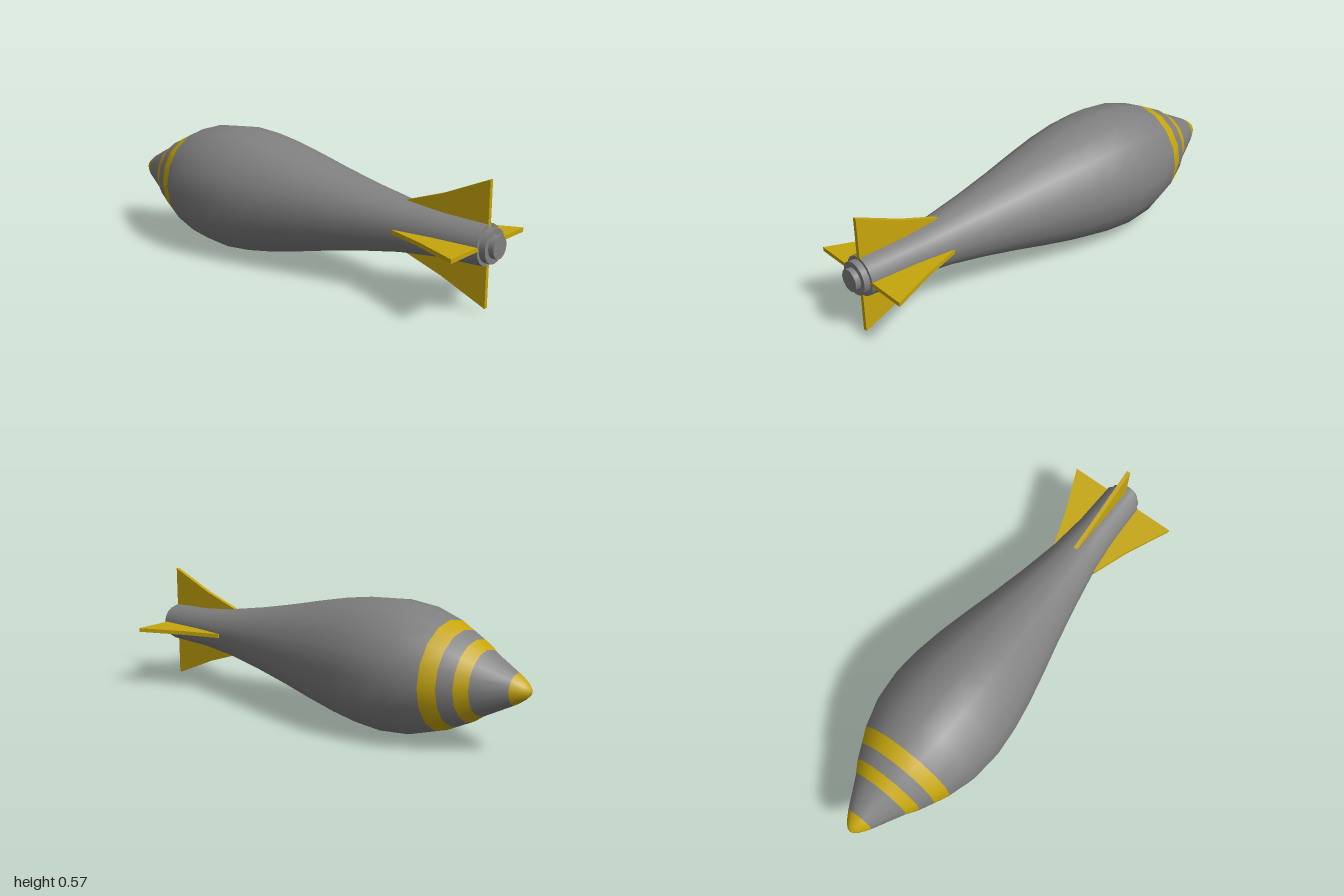
import * as THREE from 'three';

const SIDES = 16;
const AXIS_Y = 0.284;

export function createModel() {
  const grey = new THREE.MeshStandardMaterial({ color: 0x808080 });
  grey.name = 'grey metal';
  const yellow = new THREE.MeshStandardMaterial({ color: 0xc6a60c });
  yellow.name = 'yellow paint';

  const model = new THREE.Group();
  model.name = 'finnedShell';
  const add = (name, geometry, material, parent = model) => {
    const mesh = new THREE.Mesh(geometry, material);
    mesh.name = name;
    parent.add(mesh);
    return mesh;
  };

  // Body profile: [position along the axis, radius], nose to tail
  const profile = [
    [-1, 0], [-0.996, 0.016], [-0.98, 0.033], [-0.96, 0.048], [-0.935, 0.064],
    [-0.8, 0.136], [-0.75, 0.17], [-0.69, 0.2], [-0.625, 0.232],
    [-0.5, 0.271], [-0.36, 0.284], [-0.23, 0.274], [-0.1, 0.253], [0.05, 0.22],
    [0.2, 0.184], [0.38, 0.145], [0.56, 0.112], [0.74, 0.093], [0.95, 0.086],
  ];
  const lathe = new THREE.LatheGeometry(profile.map(([x, r]) => new THREE.Vector2(r, x)), SIDES);
  lathe.rotateZ(-Math.PI / 2);

  // One smooth skin, split into painted sections between profile rows
  const rows = profile.length;
  const section = (from, to) => {
    const index = [];
    for (let s = 0; s < SIDES; s++) {
      const start = (s * (rows - 1) + from) * 6;
      const end = (s * (rows - 1) + to) * 6;
      for (let k = start; k < end; k++) index.push(lathe.index.getX(k));
    }
    const part = lathe.clone();
    part.setIndex(index);
    return part;
  };
  const body = new THREE.Group();
  body.name = 'body';
  model.add(body);
  add('noseTip', section(0, 4), yellow, body);
  add('noseCone', section(4, 5), grey, body);
  add('frontBand', section(5, 6), yellow, body);
  add('bandGap', section(6, 7), grey, body);
  add('rearBand', section(7, 8), yellow, body);
  add('mainBody', section(8, rows - 1), grey, body);

  // Flat end of the tail, with a stepped plug behind it
  const tailEnd = add('tailEnd', new THREE.CircleGeometry(0.086, SIDES), grey);
  tailEnd.rotation.y = Math.PI / 2;
  tailEnd.position.x = 0.95;
  const disc = (name, radius, x0, x1) => {
    const geometry = new THREE.CylinderGeometry(radius, radius, x1 - x0, SIDES);
    geometry.rotateZ(-Math.PI / 2);
    add(name, geometry, grey).position.x = (x0 + x1) / 2;
  };
  disc('tailCollar', 0.072, 0.945, 0.977);
  disc('tailCap', 0.048, 0.97, 1);

  // Four swept fins around the tail
  const outline = new THREE.Shape([
    [0.57, 0.08], [0.95, 0.06], [0.95, 0.262], [0.74, 0.171], [0.57, 0.113],
  ].map(([x, y]) => new THREE.Vector2(x, y)));
  const finGeometry = new THREE.ExtrudeGeometry(outline, { depth: 0.018, bevelEnabled: false });
  finGeometry.translate(0, 0, -0.009);
  ['topFin', 'frontFin', 'bottomFin', 'backFin'].forEach((name, i) => {
    add(name, finGeometry, yellow).rotation.x = i * Math.PI / 2;
  });

  for (const part of model.children) part.position.y = AXIS_Y;
  return model;
}
